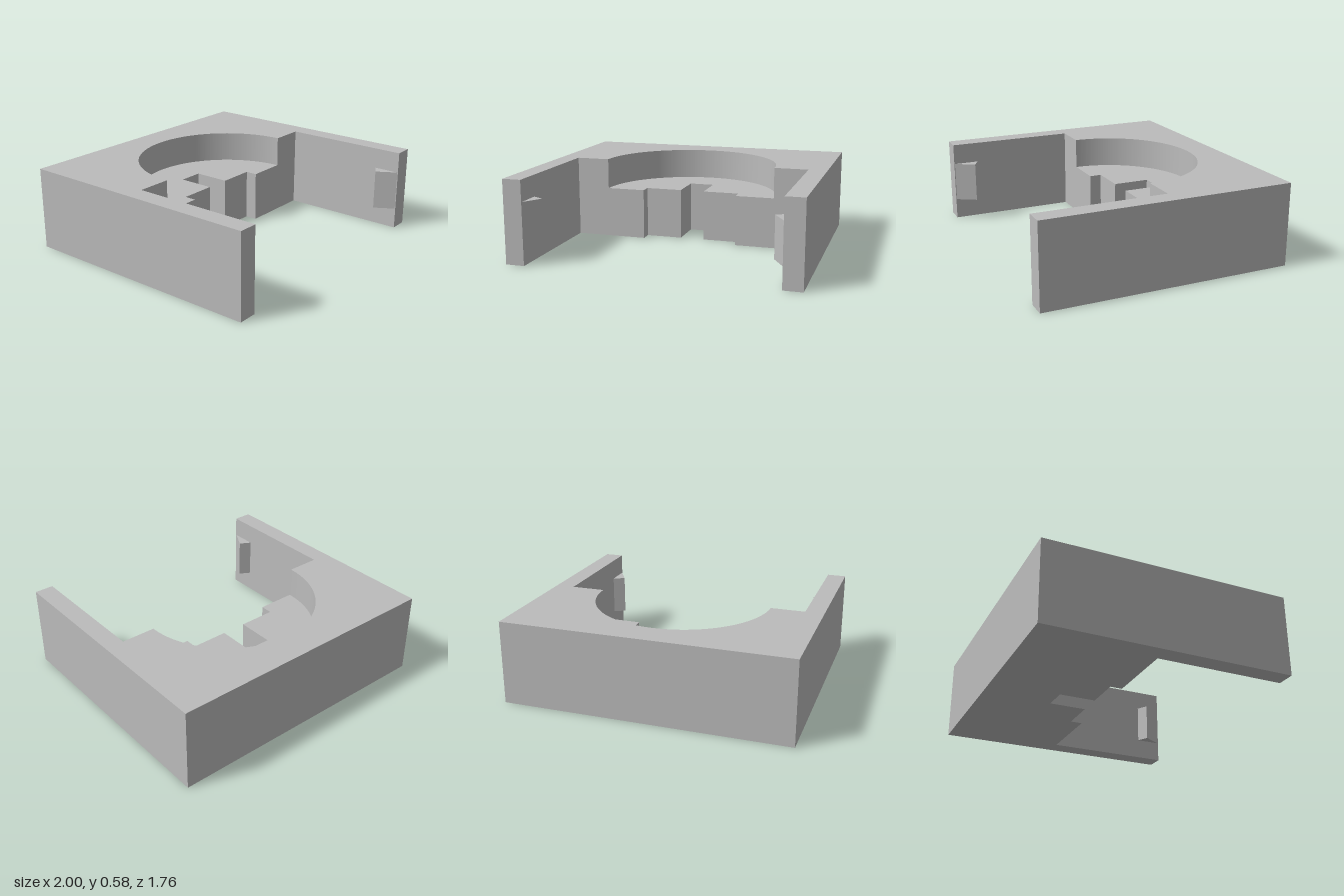
import * as THREE from 'three';

const HEIGHT = 0.584, FLOOR = 0.365; // total height, recess floor
const HALF_DEPTH = 0.88, INNER = 0.868, FRONT = -0.037; // arm inner face, body front face z

export function createModel() {
  const group = new THREE.Group();
  const grey = new THREE.MeshStandardMaterial({ color: 0xbcbcbc });
  grey.name = 'light grey';

  // Extrudes a plan outline, drawn as (x, -z), upward between two heights
  function addSlab(name, shape, bottom, top) {
    const geometry = new THREE.ExtrudeGeometry(shape, {
      depth: top - bottom, bevelEnabled: false, curveSegments: 72,
    });
    geometry.rotateX(-Math.PI / 2);
    geometry.translate(0, bottom, 0);
    const mesh = new THREE.Mesh(geometry, grey);
    mesh.name = name;
    group.add(mesh);
  }

  // Outer U outline, ending at the right arm's inner corner
  function startOutline() {
    const s = new THREE.Shape();
    s.moveTo(INNER, -FRONT);
    s.lineTo(INNER, -HALF_DEPTH);
    s.lineTo(1, -HALF_DEPTH);
    s.lineTo(1, HALF_DEPTH);
    s.lineTo(-1, HALF_DEPTH);
    s.lineTo(-1, -HALF_DEPTH);
    s.lineTo(-INNER, -HALF_DEPTH);
    s.lineTo(-INNER, -FRONT);
    return s;
  }

  // Lower body with the stepped slot in its front face
  const lower = startOutline();
  const steps = [[0.35, -FRONT], [0.35, 0.123], [0.088, 0.123], [0.088, 0.385]];
  steps.forEach(([x, y]) => lower.lineTo(-x, y));
  [...steps].reverse().forEach(([x, y]) => lower.lineTo(x, y));
  addSlab('lowerBody', lower, 0, FLOOR);

  // Upper body with the half-round recess
  const upper = startOutline();
  upper.lineTo(-0.628, -FRONT);
  upper.absarc(0, -FRONT, 0.628, Math.PI, 0, true);
  addSlab('upperBody', upper, FLOOR, HEIGHT);

  // Wedge catches near the ends of the arms
  for (const side of [-1, 1]) {
    const wedge = new THREE.Shape([
      new THREE.Vector2(side * INNER, -0.695),
      new THREE.Vector2(side * 0.788, -0.738),
      new THREE.Vector2(side * INNER, -0.875),
    ]);
    addSlab(side > 0 ? 'leftCatch' : 'rightCatch', wedge, 0.15, 0.435);
  }
  return group;
}
